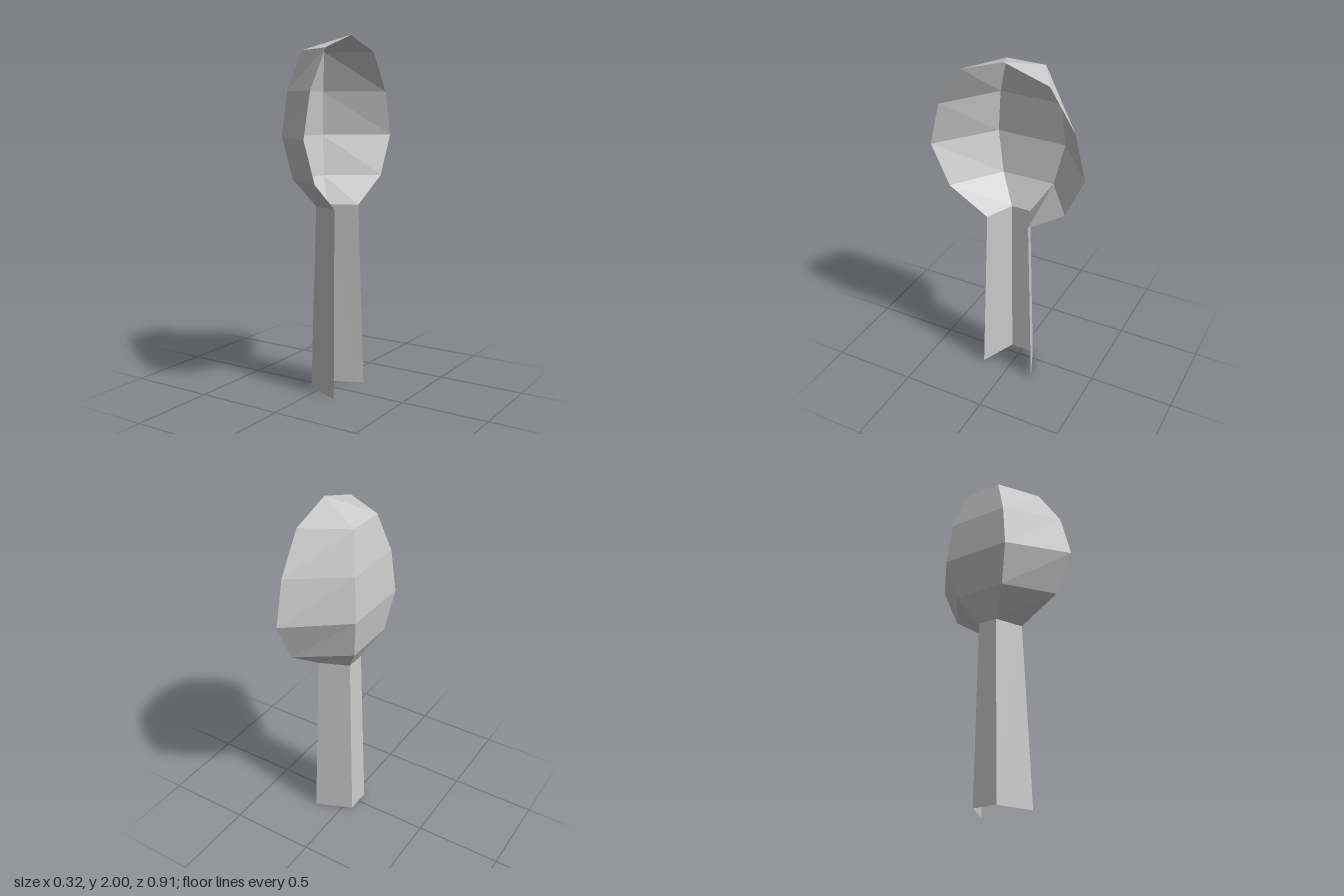
import * as THREE from 'three';

// Half-hexagon cross-section, open towards +x
function section({ y, openX, openZ, backX, backZ }) {
  return [[openX, y, openZ], [backX, y, backZ], [backX, y, -backZ], [openX, y, -openZ]];
}

// Joins sections upwards with flat walls; an optional apex closes the top
function shell(name, rings, apex) {
  const sections = rings.map(section);
  const positions = [];
  const tri = (a, b, c) => positions.push(...a, ...b, ...c);
  for (let i = 0; i < sections.length - 1; i++) {
    const low = sections[i], high = sections[i + 1];
    for (let j = 0; j < 3; j++) {
      tri(low[j + 1], low[j], high[j]);
      tri(low[j + 1], high[j], high[j + 1]);
    }
  }
  if (apex) {
    const top = sections[sections.length - 1];
    for (let j = 0; j < 3; j++) tri(top[j + 1], top[j], apex);
  }
  const geometry = new THREE.BufferGeometry();
  geometry.setAttribute('position', new THREE.Float32BufferAttribute(positions, 3));
  geometry.computeVertexNormals();
  const material = new THREE.MeshStandardMaterial({
    color: 0xcccccc, flatShading: true, side: THREE.DoubleSide,
  });
  const mesh = new THREE.Mesh(geometry, material);
  mesh.name = name;
  return mesh;
}

export function createModel() {
  const group = new THREE.Group();
  group.name = 'halfTree';

  const neck = { y: 1.06, openX: 0.135, openZ: 0.127, backX: -0.03, backZ: 0.058 };

  // Tapered trunk, open underneath
  group.add(shell('trunk', [
    { y: 0, openX: 0.155, openZ: 0.163, backX: -0.055, backZ: 0.073 },
    neck,
  ]));

  // Rounded crown rising to a low peak
  group.add(shell('crown', [
    neck,
    { y: 1.215, openX: 0.155, openZ: 0.35, backX: -0.12, backZ: 0.157 },
    { y: 1.45, openX: 0.158, openZ: 0.455, backX: -0.158, backZ: 0.205 },
    { y: 1.70, openX: 0.158, openZ: 0.393, backX: -0.138, backZ: 0.18 },
    { y: 1.92, openX: 0.158, openZ: 0.25, backX: -0.087, backZ: 0.113 },
  ], [0.158, 2, 0]));

  return group;
}
